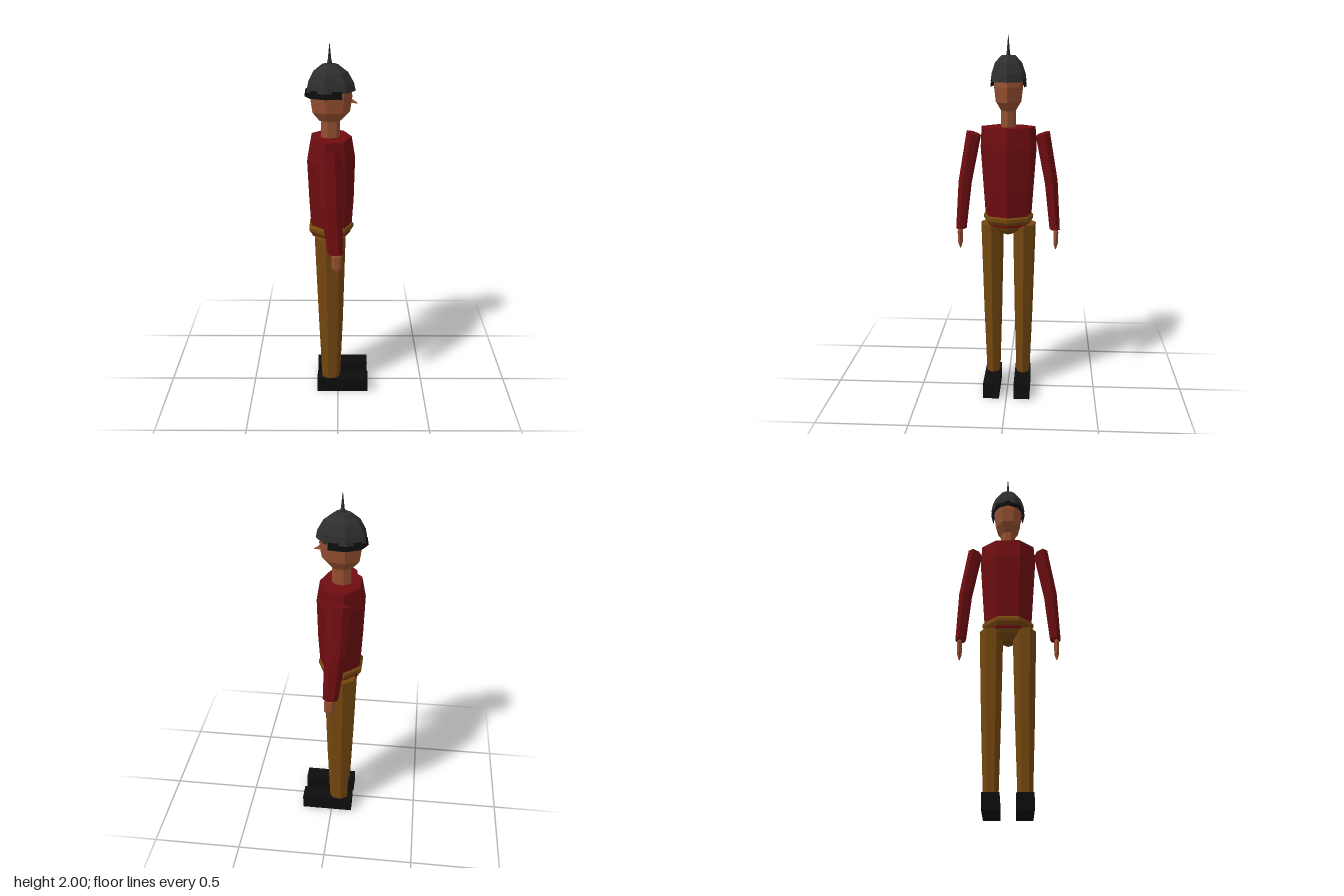
import * as THREE from 'three';

const mat = (name, color, side = THREE.FrontSide) => {
  const m = new THREE.MeshStandardMaterial({ color, flatShading: true, side });
  m.name = name;
  return m;
};

// Closed faceted loft through elliptical rings [y, cx, cz, rx, rz], bottom to top.
function loft(rings, sides = 7, phase = 0) {
  const pos = [];
  const point = ([y, cx, cz, rx, rz], i) => {
    const a = phase + (i / sides) * Math.PI * 2;
    return [cx + rx * Math.cos(a), y, cz + rz * Math.sin(a)];
  };
  const centre = ([y, cx, cz]) => [cx, y, cz];
  const tri = (a, b, c) => pos.push(...a, ...b, ...c);
  const first = rings[0], last = rings[rings.length - 1];
  for (let i = 0; i < sides; i++) {
    for (let r = 0; r < rings.length - 1; r++) {
      const a = point(rings[r], i), b = point(rings[r + 1], i);
      const c = point(rings[r + 1], i + 1), d = point(rings[r], i + 1);
      tri(a, b, c);
      tri(a, c, d);
    }
    tri(centre(first), point(first, i), point(first, i + 1));
    tri(centre(last), point(last, i + 1), point(last, i));
  }
  const g = new THREE.BufferGeometry();
  g.setAttribute('position', new THREE.Float32BufferAttribute(pos, 3));
  g.computeVertexNormals();
  return g;
}

export function createModel() {
  const model = new THREE.Group();
  model.name = 'soldier';
  const red = mat('tunicRed', 0x6e0d10);
  const brown = mat('trouserBrown', 0x74470f);
  const skin = mat('skin', 0x955030);
  const grey = mat('helmetGrey', 0x2f2f30);
  const black = mat('bootBlack', 0x0d0d0d, THREE.DoubleSide);

  const add = (name, geometry, material) => {
    const m = new THREE.Mesh(geometry, material);
    m.name = name;
    model.add(m);
    return m;
  };

  // Tunic, belt and hips
  add('torso', loft([
    [0.968, -0.042, 0, 0.11, 0.125],
    [1.03, -0.04, 0, 0.117, 0.133],
    [1.17, -0.04, 0, 0.126, 0.143],
    [1.40, -0.042, 0, 0.134, 0.159],
    [1.515, -0.04, 0, 0.113, 0.152],
  ]), red);
  add('belt', loft([
    [0.982, -0.042, 0, 0.115, 0.13],
    [1.0, -0.042, 0, 0.127, 0.143],
    [1.018, -0.042, 0, 0.127, 0.143],
    [1.032, -0.042, 0, 0.115, 0.13],
  ]), brown);
  add('hips', loft([
    [0.92, -0.042, 0, 0.055, 0.03],
    [0.945, -0.042, 0, 0.09, 0.09],
    [0.975, -0.042, 0, 0.105, 0.118],
  ]), brown);

  // Limbs, one set per side
  for (const s of [1, -1]) {
    const side = s > 0 ? 'right' : 'left';
    add(side + 'Leg', loft([
      [0.07, -0.042, s * 0.086, 0.054, 0.04],
      [0.46, -0.043, s * 0.088, 0.071, 0.053],
      [0.975, -0.046, s * 0.09, 0.088, 0.066],
    ]), brown);
    const shoe = add(side + 'Shoe', new THREE.BoxGeometry(0.295, 0.085, 0.09), black);
    shoe.position.set(0.0275, 0.0425, s * 0.086);

    // Arm rings are tilted with the slope of the limb
    const arm = loft([
      [0.95, -0.012, s * 0.262, 0.042, 0.03],
      [1.21, -0.035, s * 0.24, 0.058, 0.037],
      [1.478, -0.043, s * 0.19, 0.064, 0.04],
    ], 7, -s * Math.PI / 2);
    const p = arm.attributes.position;
    for (let i = 0; i < p.count; i++) {
      const y = p.getY(i);
      const t = (y - 0.95) / 0.528;
      const axis = y > 1.3 ? 0.19 : y > 1.1 ? 0.24 : 0.262;
      p.setY(i, y + (s * p.getZ(i) - axis) * 0.32 * t);
    }
    arm.computeVertexNormals();
    add(side + 'Arm', arm, red);
    add(side + 'Hand', loft([
      [0.835, -0.005, s * 0.267, 0.005, 0.003],
      [0.87, -0.005, s * 0.267, 0.028, 0.014],
      [0.935, -0.005, s * 0.268, 0.028, 0.015],
      [0.955, -0.008, s * 0.266, 0.015, 0.01],
    ], 6), skin);
  }

  // Neck, head and nose
  add('neck', loft([
    [1.5, -0.042, 0, 0.053, 0.042],
    [1.62, -0.042, 0, 0.053, 0.042],
  ]), skin);
  add('head', loft([
    [1.603, -0.042, 0, 0.06, 0.043],
    [1.65, -0.04, 0, 0.103, 0.072],
    [1.73, -0.04, 0, 0.115, 0.081],
    [1.8, -0.04, 0, 0.105, 0.075],
  ]), skin);
  const nose = add('nose', loft([
    [-0.035, 0, 0, 0.028, 0.016],
    [0.035, 0, 0, 0.002, 0.002],
  ], 3, Math.PI), skin);
  nose.rotation.z = -Math.PI / 2 - 0.25;
  nose.position.set(0.068, 1.702, 0);

  // Helmet dome, spike and neck guard open towards the face
  add('helmet', loft([
    [1.758, -0.042, 0, 0.134, 0.1],
    [1.80, -0.042, 0, 0.125, 0.094],
    [1.855, -0.042, 0, 0.094, 0.075],
    [1.895, -0.042, 0, 0.042, 0.038],
  ]), grey);
  add('helmetSpike', loft([
    [1.885, -0.043, 0, 0.017, 0.013],
    [1.92, -0.043, 0, 0.009, 0.008],
    [2.0, -0.043, 0, 0.001, 0.001],
  ], 4), grey);
  const guard = new THREE.CylinderGeometry(0.95, 1, 0.04, 6, 1, true,
    Math.PI / 2 + Math.PI / 3, Math.PI * 4 / 3);
  const guardMesh = add('neckGuard', guard, black);
  guardMesh.scale.set(0.132, 1, 0.1);
  guardMesh.position.set(-0.043, 1.75, 0);

  return model;
}
